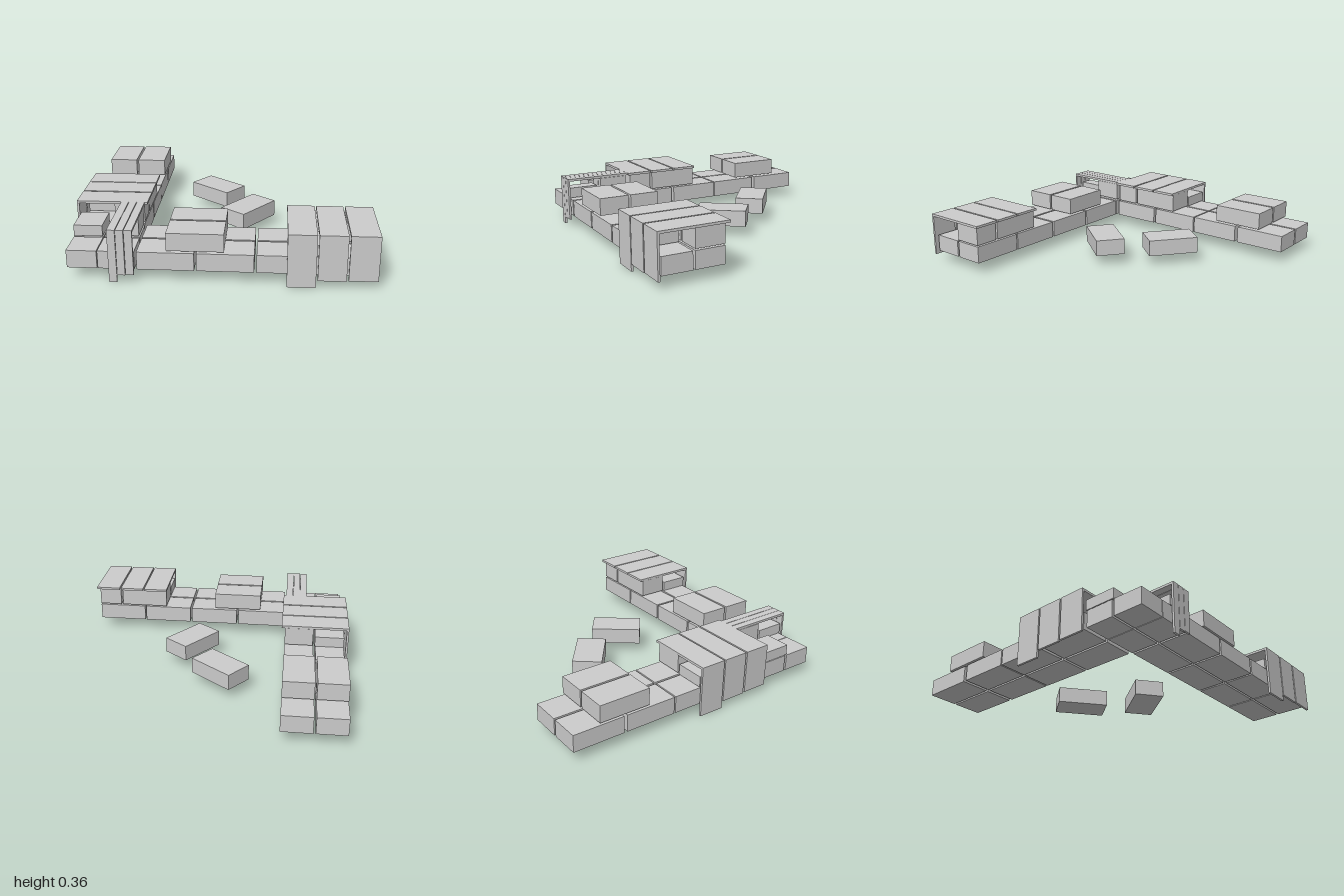
import * as THREE from 'three';

export function createModel() {
  const root = new THREE.Group();
  root.name = 'barricade';
  const grey = new THREE.MeshStandardMaterial({ color: 0xcccccc });
  grey.name = 'plain grey';

  // Box given by its extents on each axis
  function block(parent, name, [x0, x1], [y0, y1], [z0, z1]) {
    const mesh = new THREE.Mesh(new THREE.BoxGeometry(x1 - x0, y1 - y0, z1 - z0), grey);
    mesh.position.set((x0 + x1) / 2, (y0 + y1) / 2, (z0 + z1) / 2);
    mesh.name = name;
    parent.add(mesh);
    return mesh;
  }

  const LOW = [0.08, 0.2], HIGH = [0.215, 0.335];
  const frontRows = [[0.54, 0.745], [0.76, 0.97]];
  const sideRows = [[-0.97, -0.765], [-0.75, -0.54]];

  // Lower course and loose upper pairs of the front arm
  for (const row of frontRows) {
    for (const x of [-0.52, -0.14, 0.24, 0.615]) block(root, 'lowerBrick', [x, x + 0.365], LOW, row);
    block(root, 'cornerBrick', [-0.97, -0.775], LOW, row);
    block(root, 'cornerBrick', [-0.77, -0.535], LOW, row);
    block(root, 'upperBrick', [-0.33, 0.035], HIGH, row);
  }

  // Lower course and upper pair of the side arm
  for (const row of sideRows) {
    for (const z of [-1, -0.61, -0.235, 0.15]) block(root, 'lowerBrick', row, LOW, [z, z + 0.365]);
    block(root, 'upperBrick', row, HIGH, [-0.81, -0.445]);
  }

  // Low slab left at the corner
  block(root, 'cornerSlab', [-0.97, -0.78], [0.205, 0.28], [0.53, 0.755]);

  // Three bent sheets over a brick and a half, hollow at the front
  function shelter(name) {
    const g = new THREE.Group();
    g.name = name;
    const panels = [[0.43, 0.613, 0], [0.623, 0.803, 0.05], [0.815, 1, 0.055]];
    for (const [x0, x1, bottom] of panels) {
      block(g, 'roofSheet', [x0, x1], [0.343, 0.36], [0.515, 1]);
      block(g, 'hangingSheet', [x0, x1], [bottom, 0.343], [0.985, 1]);
    }
    block(g, 'shelterBrick', [0.435, 0.795], [0.21, 0.34], frontRows[0]);
    block(g, 'halfBrick', [0.81, 0.98], [0.21, 0.34], frontRows[0]);
    block(g, 'innerSlab', [0.435, 0.795], [0.205, 0.28], frontRows[1]);
    root.add(g);
    return g;
  }
  shelter('frontShelter');
  const side = shelter('sideShelter');
  side.rotation.y = -Math.PI / 2;
  side.position.z = -0.475;
  const strips = shelter('cornerStrips');
  strips.scale.x = 0.28;
  strips.position.x = -0.815;

  // Two fallen bricks inside the angle
  for (const [x, z, turn] of [[-0.095, -0.325, -0.666], [0.155, 0.083, 0.92]]) {
    const brick = block(root, 'fallenBrick', [-0.18, 0.18], [0.075, 0.19], [-0.104, 0.104]);
    brick.position.x = x;
    brick.position.z = z;
    brick.rotation.y = turn;
  }
  return root;
}
